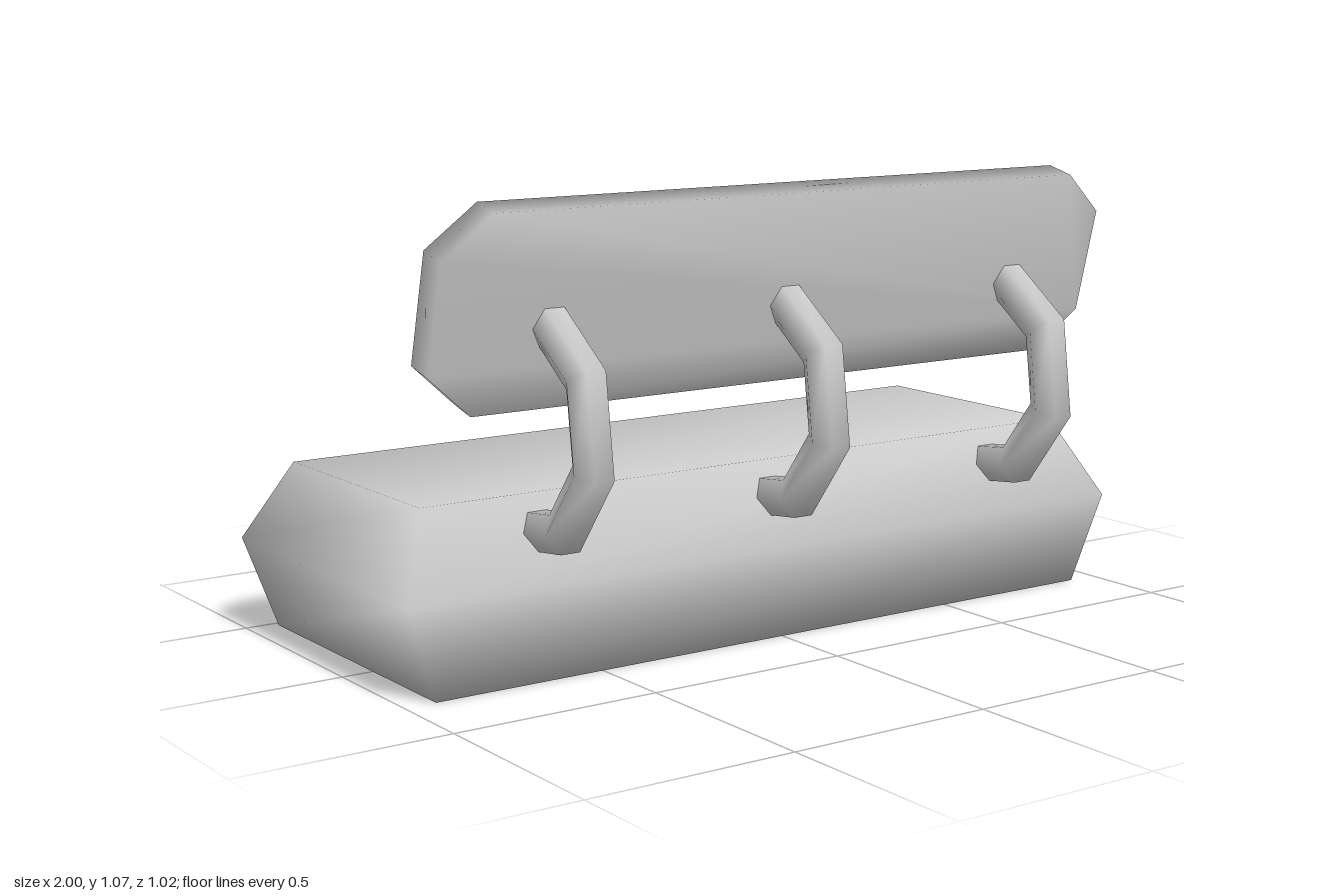
import * as THREE from 'three';

const V = (x, y, z) => new THREE.Vector3(x, y, z);

// Smooth closed solid through rings that run counter-clockwise around the direction of travel
function loft(rings) {
  const n = rings[0].length, last = (rings.length - 1) * n, index = [];
  for (let i = 0; i < last; i += n) {
    for (let j = 0; j < n; j++) {
      const k = (j + 1) % n;
      index.push(i + j, i + k, i + n + k, i + j, i + n + k, i + n + j);
    }
  }
  for (let j = 1; j < n - 1; j++) {
    index.push(0, j + 1, j, last, last + j, last + j + 1);
  }
  const geometry = new THREE.BufferGeometry().setFromPoints(rings.flat());
  geometry.setIndex(index);
  geometry.computeVertexNormals();
  return geometry;
}

// Hexagonal tube with mitred bends along a path in the y-z plane
function bentTube(path, radius) {
  const side = V(1, 0, 0);
  return loft(path.map((p, i) => {
    const before = p.clone().sub(path[Math.max(i - 1, 0)]).normalize();
    const after = path[Math.min(i + 1, path.length - 1)].clone().sub(p).normalize();
    const tangent = before.clone().add(after).normalize();
    const stretch = 1 / tangent.dot(i ? before : after);
    const normal = tangent.clone().cross(side);
    return Array.from({ length: 6 }, (_, k) => {
      const a = k * Math.PI / 3;
      return p.clone()
        .addScaledVector(side, radius * Math.cos(a))
        .addScaledVector(normal, radius * stretch * Math.sin(a));
    });
  }));
}

export function createModel() {
  const group = new THREE.Group();
  const material = new THREE.MeshStandardMaterial({ color: 0xcccccc });
  const add = (name, geometry) => {
    const mesh = new THREE.Mesh(geometry, material);
    mesh.name = name;
    group.add(mesh);
    return mesh;
  };

  // Seat block: widest a little above the middle [y, half width, back z, front z]
  const levels = [
    [0, 0.925, -0.48, 0.29],
    [0.22, 1, -0.507, 0.317],
    [0.41, 0.912, -0.4, 0.21],
  ];
  add('seat', loft(levels.map(([y, x, back, front]) =>
    [V(-x, y, front), V(x, y, front), V(x, y, back), V(-x, y, back)])));

  // Backrest: tilted board with cut corners
  const outline = [
    [0.925, -0.13], [0.925, 0.13], [0.81, 0.23], [-0.81, 0.23],
    [-0.925, 0.13], [-0.925, -0.13], [-0.81, -0.23], [0.81, -0.23],
  ];
  const backrest = add('backrest', loft([-0.037, 0.037].map(z => outline.map(([x, y]) => V(x, y, z)))));
  backrest.position.set(0, 0.836, 0.278);
  backrest.rotation.x = 0.25;

  // Three bent arms joining seat and backrest
  const path = [[0.325, 0.2], [0.342, 0.346], [0.495, 0.464], [0.692, 0.438], [0.805, 0.28]]
    .map(([y, z]) => V(0, y, z));
  const arm = bentTube(path, 0.049);
  [['rightArm', -0.632], ['middleArm', 0], ['leftArm', 0.676]].forEach(([name, x]) => {
    add(name, arm).position.x = x;
  });

  return group;
}
